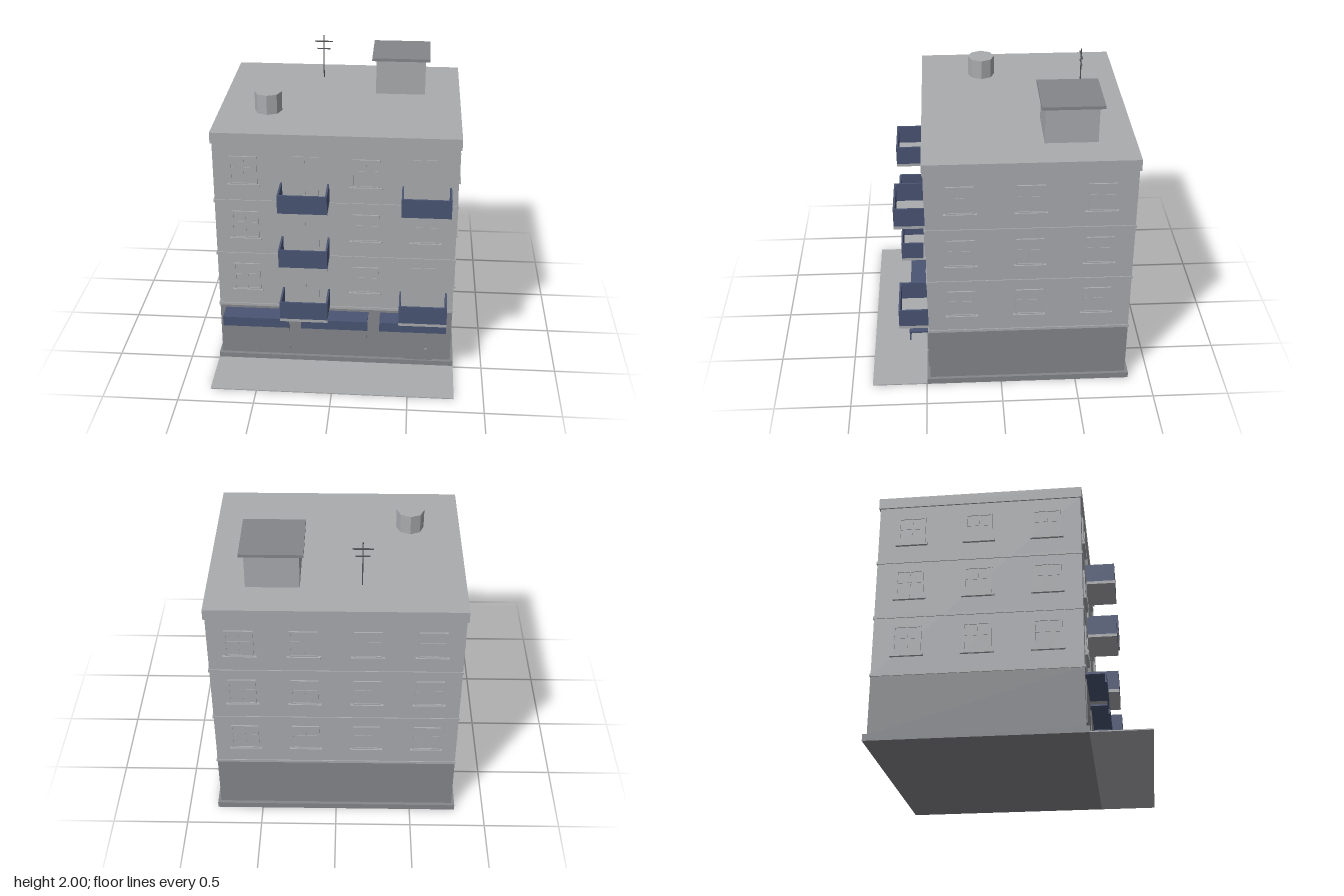
import * as THREE from 'three';

const material = (name, color) => {
  const m = new THREE.MeshStandardMaterial({ color });
  m.name = name;
  return m;
};

export function createModel() {
  const wall = material('light grey wall', 0xa9abae);
  const stone = material('dark grey ground floor', 0x85868a);
  const navy = material('navy panel', 0x4a5574);
  const metal = material('dark metal', 0x55565a);

  const model = new THREE.Group();
  model.name = 'apartmentBlock';

  // Box given by its centre in x and z, and by its bottom in y
  function box(name, mat, w, h, d, x, y, z, parent = model) {
    const mesh = new THREE.Mesh(new THREE.BoxGeometry(w, h, d), mat);
    mesh.name = name;
    mesh.position.set(x, y + h / 2, z);
    parent.add(mesh);
    return mesh;
  }
  function group(name, parent = model) {
    const g = new THREE.Group();
    g.name = name;
    parent.add(g);
    return g;
  }

  const W = 1.57, D = 1.312, zMid = -0.181, front = 0.475;
  const floors = [0.43, 0.82, 1.21];

  // Main masses
  box('pavement', wall, 1.612, 0.007, 0.372, 0, 0, 0.678);
  box('plinth', stone, 1.612, 0.042, 1.357, 0, 0, zMid);
  box('groundFloor', stone, W, 0.383, D, 0, 0.042, zMid);
  box('upperFloors', wall, W, 1.195, D, 0, 0.425, zMid);
  box('roofSlab', wall, 1.59, 0.074, 1.332, 0, 1.615, zMid);
  for (const y of floors) box('floorBand', wall, W + 0.012, 0.018, D + 0.012, 0, y - 0.008, zMid);

  // Framed window with cross bars and a sill; local +z points out of the wall
  function addWindow(parent, x, y) {
    const g = group('window', parent);
    g.position.set(x, y, 0);
    box('pane', wall, 0.17, 0.19, 0.004, 0, 0.01, 0.002, g);
    for (const s of [-1, 1]) {
      box('frameSide', wall, 0.01, 0.19, 0.01, s * 0.083, 0.01, 0.005, g);
      box('frameRail', wall, 0.176, 0.01, 0.01, 0, s > 0 ? 0.195 : 0.01, 0.005, g);
    }
    box('mullion', wall, 0.007, 0.18, 0.007, 0, 0.015, 0.0035, g);
    box('crossBar', wall, 0.16, 0.007, 0.007, 0, 0.12, 0.0035, g);
    box('sill', wall, 0.208, 0.012, 0.018, 0, 0, 0.009, g);
  }

  // Balcony with its door
  function addBalcony(parent, x, y) {
    const g = group('balcony', parent);
    g.position.set(x, y, 0);
    box('balconyFloor', wall, 0.315, 0.02, 0.193, 0, 0, 0.0965, g);
    box('frontPanel', navy, 0.315, 0.125, 0.012, 0, 0.02, 0.187, g);
    for (const s of [-1, 1]) box('sidePanel', navy, 0.012, 0.125, 0.181, s * 0.1515, 0.02, 0.0905, g);
    box('balconyDoor', wall, 0.18, 0.31, 0.005, 0, 0.02, 0.0025, g);
    box('doorBar', wall, 0.007, 0.3, 0.008, 0, 0.02, 0.004, g);
    return g;
  }

  // Four facades: distance from the block centre, turn and number of bays
  const facades = [
    ['frontFacade', D / 2, 0, 4, W],
    ['leftFacade', W / 2, Math.PI / 2, 3, D],
    ['backFacade', D / 2, Math.PI, 4, W],
    ['rightFacade', W / 2, -Math.PI / 2, 3, D],
  ];
  for (const [name, dist, turn, bays, length] of facades) {
    const g = group(name);
    g.rotation.y = turn;
    g.position.set(Math.sin(turn) * dist, 0, zMid + Math.cos(turn) * dist);
    floors.forEach((y, f) => {
      for (let i = 0; i < bays; i++) {
        const x = (i + 0.5 - bays / 2) * length / bays;
        const balcony = turn === 0 && (i === 1 || (i === 3 && f !== 1));
        if (!balcony) addWindow(g, x, y + 0.115);
        else {
          const b = addBalcony(g, i === 3 ? 0.585 : x, y - 0.002);
          if (i === 1 && f === 2) box('balconyBox', wall, 0.066, 0.05, 0.05, 0.093, 0.02, 0.053, b);
        }
      }
    });
  }

  // Shop fronts with awnings
  for (const x of [-0.525, 0, 0.523]) {
    const g = group('shopFront');
    g.position.set(x, 0, front);
    box('shopPane', stone, 0.42, 0.28, 0.006, 0, 0.085, 0.003, g);
    box('awningTop', navy, 0.444, 0.012, 0.125, 0, 0.39, 0.0625, g);
    box('awningValance', navy, 0.444, 0.068, 0.01, 0, 0.334, 0.122, g);
  }

  // Shop door in the bay at the model's left
  box('shopDoor', stone, 0.18, 0.31, 0.012, 0.573, 0.042, front + 0.006);
  box('doorHandle', wall, 0.014, 0.01, 0.01, 0.617, 0.13, front + 0.015);

  // Stair house
  box('stairHouse', wall, 0.334, 0.24, 0.334, 0.39, 1.689, -0.444);
  box('stairHouseCap', stone, 0.39, 0.02, 0.39, 0.39, 1.929, -0.447);

  // Water tank
  const tankShape = new THREE.CylinderGeometry(0.09, 0.09, 0.132, 8).toNonIndexed();
  tankShape.computeVertexNormals();
  const tank = new THREE.Mesh(tankShape, wall);
  tank.name = 'waterTank';
  tank.position.set(-0.47, 1.755, 0.075);
  model.add(tank);

  // Aerial
  const mast = new THREE.Mesh(new THREE.CylinderGeometry(0.004, 0.004, 0.311, 6), metal);
  mast.name = 'aerialMast';
  mast.position.set(-0.158, 1.8445, -0.577);
  model.add(mast);
  box('aerialBar', metal, 0.128, 0.007, 0.007, -0.158, 1.95, -0.577);
  box('aerialBar', metal, 0.09, 0.007, 0.007, -0.158, 1.897, -0.577);

  return model;
}
